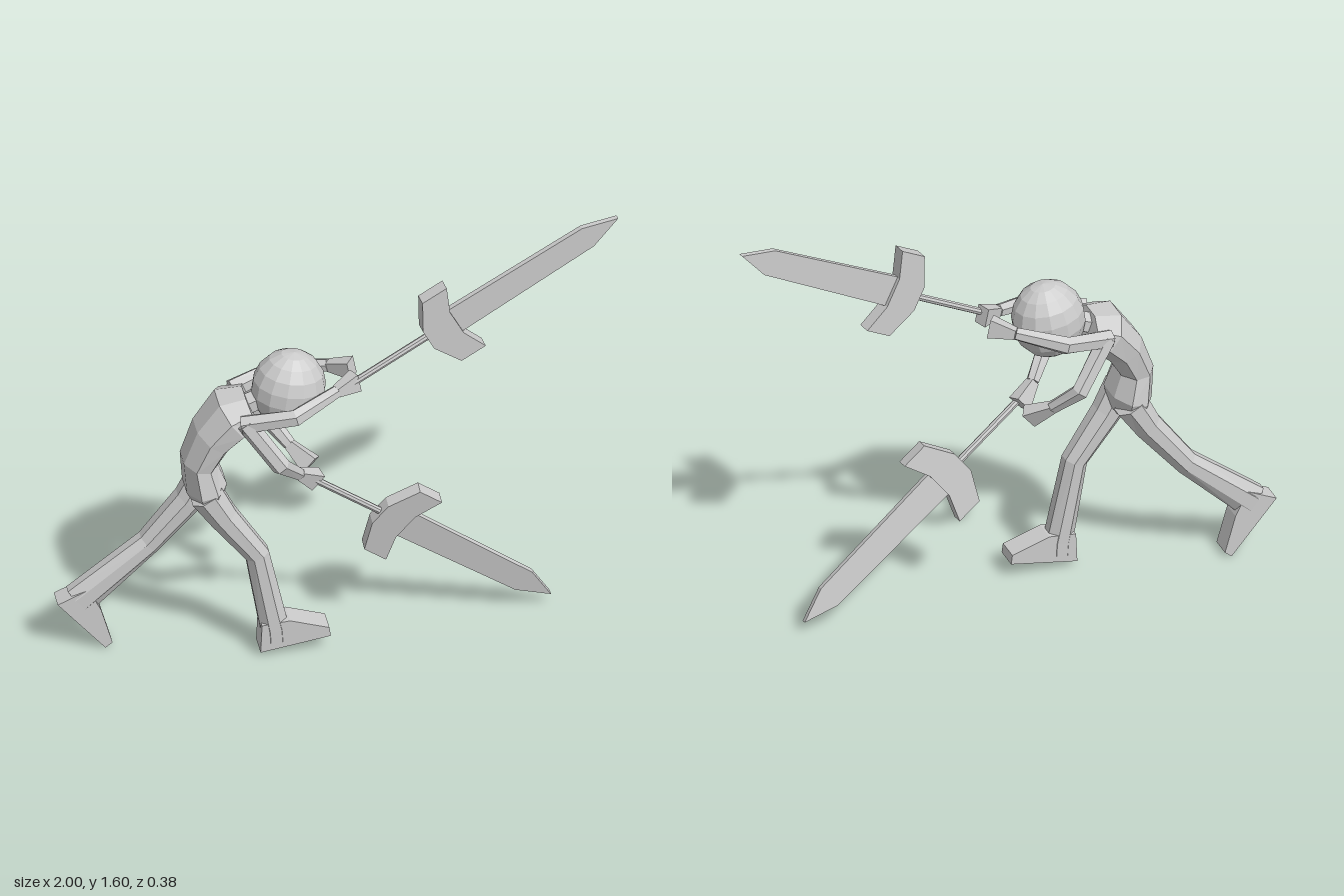
import * as THREE from 'three';

const mat = new THREE.MeshStandardMaterial({ color: 0xcccccc, flatShading: true });
const V = (a) => new THREE.Vector3(...a);

function add(parent, geometry, name) {
  const mesh = new THREE.Mesh(geometry, mat);
  mesh.name = name;
  parent.add(mesh);
  return mesh;
}

// Closed faceted tube through rings [x, y, z, depth radius, z radius]
function loft(rings, sides) {
  const pos = [], index = [], n = rings.length;
  const c = rings.map((r) => V(r.slice(0, 3)));
  rings.forEach((r, i) => {
    const t = c[Math.min(i + 1, n - 1)].clone().sub(c[Math.max(i - 1, 0)]).normalize();
    const s = new THREE.Vector3(0, 0, 1).addScaledVector(t, -t.z).normalize();
    const b = t.clone().cross(s);
    for (let j = 0; j < sides; j++) {
      const a = ((j + 0.5) / sides) * Math.PI * 2;
      const p = c[i].clone().addScaledVector(s, Math.cos(a) * r[4]).addScaledVector(b, Math.sin(a) * r[3]);
      pos.push(p.x, p.y, p.z);
    }
  });
  for (let j = 0; j < sides; j++) {
    const k = (j + 1) % sides;
    for (let i = 0; i < n - 1; i++) {
      const a = i * sides, b = a + sides;
      index.push(a + j, a + k, b + k, a + j, b + k, b + j);
    }
    // end caps
    if (j > 0 && j < sides - 1) {
      const e = (n - 1) * sides;
      index.push(0, k, j, e, e + j, e + k);
    }
  }
  const g = new THREE.BufferGeometry();
  g.setAttribute('position', new THREE.Float32BufferAttribute(pos, 3));
  g.setIndex(index);
  g.computeVertexNormals();
  return g;
}

// Flat plate from an outline, centred on z
function plate(points, depth, z = 0) {
  const shape = new THREE.Shape(points.map((p) => new THREE.Vector2(...p)));
  return new THREE.ExtrudeGeometry(shape, { depth, bevelEnabled: false }).translate(0, 0, z - depth / 2);
}

// Sword along local x, its guard at the origin
function sword(name, guard, tip, up) {
  const g = new THREE.Group();
  g.name = name;
  add(g, new THREE.CylinderGeometry(0.013, 0.013, 0.36, 8).rotateZ(Math.PI / 2).translate(-0.15, 0, 0), 'grip');
  add(g, plate([
    [0, -0.045], [0.055, -0.157], [0.155, -0.157], [0.117, -0.055],
    [0.117, 0.055], [0.155, 0.157], [0.055, 0.157], [0, 0.045],
  ], 0.05), 'crossGuard');
  add(g, plate([[0.1, -0.057], [0.665, -0.048], [0.79, 0], [0.665, 0.048], [0.1, 0.057]], 0.02), 'blade');
  const u = V(tip).sub(V(guard)).normalize();
  const w = u.clone().cross(V(up)).normalize();
  g.quaternion.setFromRotationMatrix(new THREE.Matrix4().makeBasis(u, w.clone().cross(u), w));
  g.position.set(...guard);
  return g;
}

// Arm from shoulder through elbow to a blocky hand
function arm(name, shoulder, elbow, wrist, hand) {
  const g = new THREE.Group();
  g.name = name;
  add(g, loft([[...shoulder, 0.035, 0.035], [...elbow, 0.034, 0.03], [...wrist, 0.024, 0.024]], 6), 'armSegments');
  add(g, loft([[...wrist, 0.024, 0.024], [...hand, 0.05, 0.035]], 4), 'hand');
  return g;
}

export function createModel() {
  const model = new THREE.Group();
  model.name = 'swordFighter';

  // Body leaning towards +x
  add(model, loft([
    [-0.475, 0.62, 0, 0.05, 0.1],
    [-0.485, 0.69, 0, 0.078, 0.13],
    [-0.505, 0.79, 0, 0.066, 0.11],
    [-0.46, 0.89, 0, 0.075, 0.125],
    [-0.39, 0.97, 0, 0.09, 0.14],
    [-0.325, 0.995, 0, 0.06, 0.11],
  ], 8), 'torso');
  add(model, loft([[-0.36, 0.99, 0, 0.04, 0.045], [-0.24, 1.04, 0, 0.04, 0.045]], 6), 'neck');

  const head = add(model, new THREE.SphereGeometry(1, 14, 9), 'head');
  head.scale.set(0.133, 0.146, 0.12);
  head.position.set(-0.186, 1.052, 0);
  head.rotation.z = -0.15;

  // Left leg steps forward, right leg trails
  const leftLeg = new THREE.Group();
  leftLeg.name = 'leftLeg';
  add(leftLeg, loft([
    [-0.49, 0.68, 0.065, 0.065, 0.062],
    [-0.43, 0.58, 0.065, 0.055, 0.058],
    [-0.31, 0.41, 0.065, 0.046, 0.05],
    [-0.25, 0.1, 0.068, 0.054, 0.05],
    [-0.247, 0.05, 0.068, 0.054, 0.05],
  ], 8), 'legSegments');
  add(leftLeg, plate([[-0.305, 0.018], [-0.055, 0.06], [-0.06, 0.095], [-0.2, 0.14], [-0.3, 0.13]], 0.09, 0.068), 'foot');
  const rightLeg = new THREE.Group();
  rightLeg.name = 'rightLeg';
  add(rightLeg, loft([
    [-0.47, 0.68, -0.065, 0.065, 0.062],
    [-0.53, 0.58, -0.068, 0.055, 0.058],
    [-0.67, 0.405, -0.08, 0.046, 0.05],
    [-0.92, 0.19, -0.08, 0.066, 0.045],
  ], 8), 'legSegments');
  add(rightLeg, plate([[-1, 0.2], [-0.83, 0], [-0.805, 0.02], [-0.845, 0.16], [-0.89, 0.25]], 0.08, -0.08), 'foot');
  model.add(leftLeg, rightLeg);

  // Two pairs of arms curving around the head
  for (const [side, s] of [['Left', 1], ['Right', -1]]) {
    model.add(
      arm(`upper${side}Arm`, [-0.37, 0.99, s * 0.115], [-0.19, 1.03, s * 0.165],
        [-0.03, 1.07, s > 0 ? 0.085 : -0.085], [0.045, 1.085, s > 0 ? 0.05 : -0.03]),
      arm(`lower${side}Arm`, [-0.36, 1.0, s * 0.12], [-0.24, 0.83, s * 0.165],
        [-0.165, 0.745, s * 0.095], [-0.1, 0.69, s > 0 ? 0.055 : -0.035]),
    );
  }

  model.add(
    sword('upperSword', [0.3, 1.23, 0.035], [1, 1.602, -0.048], [-0.47, 0.88, 0.09]),
    sword('lowerSword', [0.13, 0.52, 0.04], [0.763, 0.038, -0.045], [0.6, 0.79, 0.13]),
  );
  return model;
}
